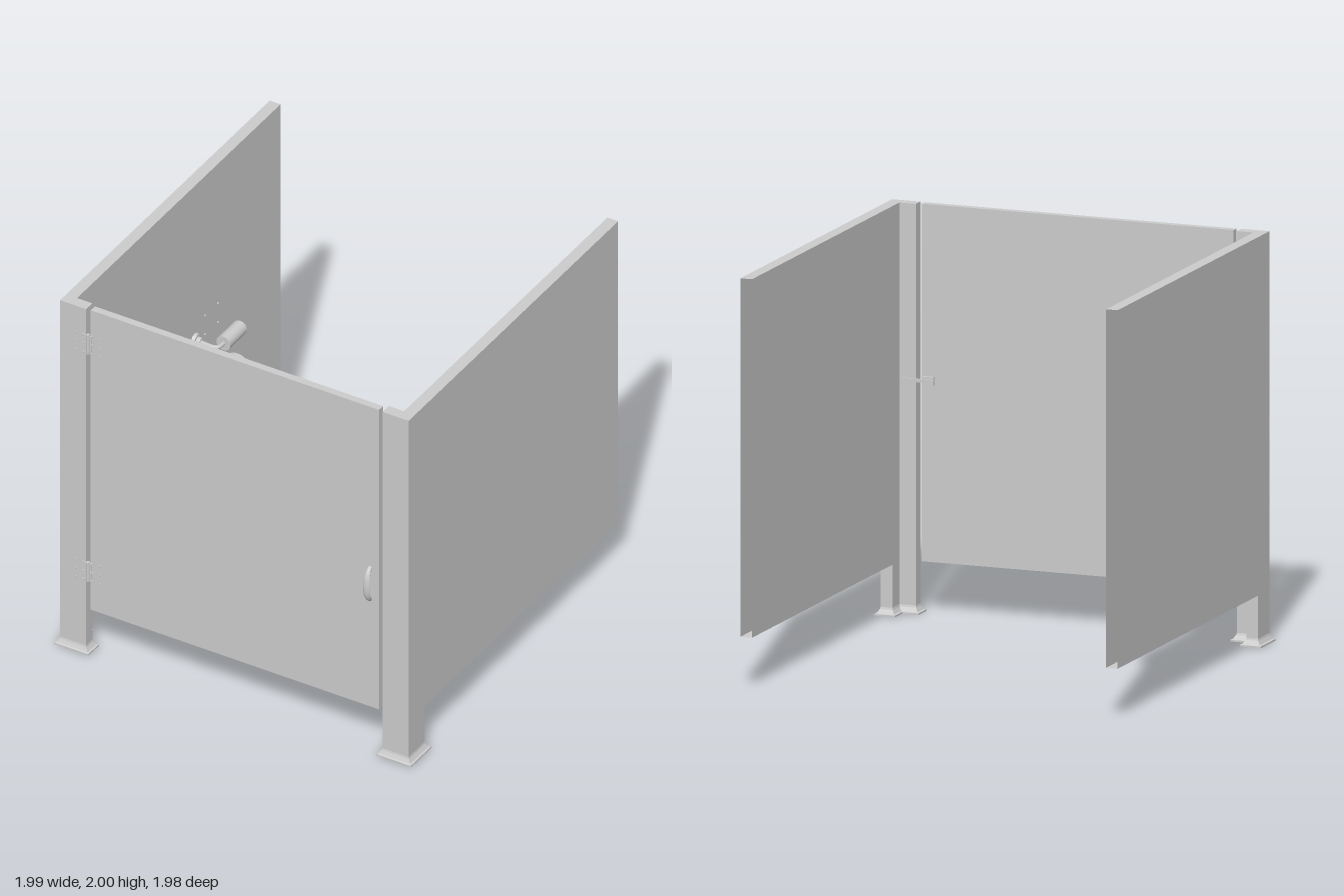
import * as THREE from 'three';

const mat = new THREE.MeshStandardMaterial({ color: 0xcccccc });
const thin = new THREE.MeshStandardMaterial({ color: 0xcccccc, side: THREE.DoubleSide });

function add(parent, name, geo, x = 0, y = 0, z = 0, material = mat) {
  const m = new THREE.Mesh(geo, material);
  m.name = name;
  m.position.set(x, y, z);
  parent.add(m);
  return m;
}

// Box given by its min and max corners
function box(parent, name, x0, x1, y0, y1, z0, z1) {
  return add(parent, name, new THREE.BoxGeometry(x1 - x0, y1 - y0, z1 - z0),
    (x0 + x1) / 2, (y0 + y1) / 2, (z0 + z1) / 2);
}

// Corner outline at height y of an L-shaped post, grown outwards by o
function cornerOutline(side, y, o) {
  const pts = [[0.971 + o, 0.947 + o * 0.8], [0.971 + o, 0.8 - o], [0.911 - o, 0.8 - o],
    [0.911 - o, 0.89 - o], [0.826 - o, 0.89 - o], [0.826 - o, 0.947 + o * 0.8]]
    .map(([x, z]) => new THREE.Vector3(x * side, y, z));
  // Keep the outer corner first when the mirrored ring is turned round
  return side > 0 ? pts : [pts[0], ...pts.slice(1).reverse()];
}

// L-shaped post lofted upwards from a flared foot, with end caps
function postGeometry(side) {
  const levels = [[0, 0.024], [0.008, 0.024], [0.012, 0.014], [0.03, 0.003], [0.04, 0], [2, 0]];
  const rings = levels.map(([y, o]) => cornerOutline(side, y, o));
  const pos = [];
  const tri = (a, b, c) => [a, b, c].forEach(p => pos.push(p.x, p.y, p.z));
  for (let i = 0; i < rings.length - 1; i++) {
    for (let j = 0; j < 6; j++) {
      const k = (j + 1) % 6, lo = rings[i], hi = rings[i + 1];
      tri(lo[j], lo[k], hi[k]);
      tri(lo[j], hi[k], hi[j]);
    }
  }
  // Caps fan out from the outer corner, which sees the whole L
  const top = rings[rings.length - 1], bottom = rings[0];
  for (let j = 1; j < 5; j++) {
    tri(top[0], top[j], top[j + 1]);
    tri(bottom[0], bottom[j + 1], bottom[j]);
  }
  const g = new THREE.BufferGeometry();
  g.setAttribute('position', new THREE.Float32BufferAttribute(pos, 3));
  g.computeVertexNormals();
  return g;
}

// Side wall: a hollow panel, open at its back end
function wallGeometry() {
  const g = new THREE.BoxGeometry(0.06, 1.75, 1.79);
  g.setIndex(Array.from(g.index.array).slice(0, 30));
  return g;
}

// Bowed pull handle, wide in the middle and slim at the feet
function handleGeometry() {
  const path = new THREE.CatmullRomCurve3([[-0.094, 0], [-0.082, 0.016], [-0.055, 0.03],
    [0, 0.036], [0.055, 0.03], [0.082, 0.016], [0.094, 0]].map(([y, z]) => new THREE.Vector3(0, y, z)));
  const g = new THREE.TubeGeometry(path, 32, 0.01, 12);
  const p = g.attributes.position;
  for (let i = 0; i < p.count; i++) p.setX(i, p.getX(i) * (2 - 1.1 * (p.getY(i) / 0.1) ** 2));
  g.computeVertexNormals();
  return g;
}

function hinge(y) {
  const g = new THREE.Group();
  g.name = 'hinge';
  g.position.set(-0.816, y, 0);
  add(g, 'hingeBarrel', new THREE.CylinderGeometry(0.009, 0.009, 0.11, 16), 0, 0, 0.947);
  box(g, 'hingeLeafPost', -0.02, 0, -0.05, 0.05, 0.944, 0.952);
  box(g, 'hingeLeafDoor', 0, 0.02, -0.05, 0.05, 0.94, 0.948);
  for (const [x, z] of [[-0.068, 0.948], [-0.025, 0.951], [0.02, 0.949], [0.067, 0.944]]) {
    for (const dy of [-0.05, 0, 0.05]) {
      const s = add(g, 'hingeScrew', new THREE.CylinderGeometry(0.005, 0.006, 0.006, 10), x, dy, z);
      s.rotation.x = Math.PI / 2;
    }
  }
  return g;
}

// Stepped wall flange, bent arm and spool at height y
function rollHolder(y) {
  const g = new THREE.Group();
  g.name = 'rollHolder';
  g.position.y = y;
  for (const [name, r, x, length] of [['holderFlange', 0.036, -0.903, 0.018], ['holderNeck', 0.022, -0.888, 0.03]]) {
    const part = add(g, name, new THREE.CylinderGeometry(r * 0.9, r, length, 24), x, 0, -0.197);
    part.rotation.z = -Math.PI / 2;
  }
  const path = new THREE.CatmullRomCurve3([[-0.89, -0.195], [-0.84, -0.19], [-0.8, -0.19],
    [-0.783, -0.2], [-0.778, -0.225], [-0.778, -0.3]].map(([x, z]) => new THREE.Vector3(x, 0, z)));
  add(g, 'holderArm', new THREE.TubeGeometry(path, 32, 0.011, 10));
  const spool = add(g, 'spool', new THREE.CylinderGeometry(0.039, 0.039, 0.155, 24), -0.778, 0, -0.318);
  spool.rotation.x = Math.PI / 2;
  const tip = add(g, 'spoolTip', new THREE.CylinderGeometry(0.01, 0.01, 0.165, 12), -0.778, 0, -0.321);
  tip.rotation.x = Math.PI / 2;
  return g;
}

export function createModel() {
  const root = new THREE.Group();
  root.name = 'cubicle';

  // Walls and corner posts
  for (const side of [-1, 1]) {
    add(root, 'sideWall', wallGeometry(), side * 0.941, 1.125, -0.095, thin);
    add(root, 'cornerPost', postGeometry(side));
  }

  // Door with hinges, handle and latch
  box(root, 'door', -0.803, 0.803, 0.255, 2, 0.905, 0.943);
  root.add(hinge(1.8), hinge(0.475));
  add(root, 'handle', handleGeometry(), 0.755, 0.975, 0.943);
  box(root, 'latchBar', 0.73, 0.9, 1.132, 1.148, 0.88, 0.89);
  box(root, 'latchPlate', 0.735, 0.79, 1.12, 1.16, 0.888, 0.906);

  // Waste bin tapering towards its floor
  const bin = new THREE.BoxGeometry(0.168, 0.23, 0.235);
  const p = bin.attributes.position;
  for (let i = 0; i < p.count; i++) {
    if (p.getY(i) > 0) continue;
    p.setZ(i, p.getZ(i) * 0.72);
    if (p.getX(i) > 0) p.setX(i, p.getX(i) - 0.04);
  }
  bin.computeVertexNormals();
  add(root, 'wasteBin', bin, -0.827, 0.845, 0.064);
  box(root, 'binRim', -0.911, -0.738, 0.957, 0.97, -0.058, 0.186);

  // Two roll holders, the lower one carrying a full roll
  root.add(rollHolder(1.105), rollHolder(0.89));
  const roll = add(root, 'paperRoll', new THREE.CylinderGeometry(0.077, 0.077, 0.158, 40), -0.778, 0.89, -0.294);
  roll.rotation.x = Math.PI / 2;

  // Fixing screws on the wall
  for (const z of [-0.41, -0.29]) {
    for (const y of [0.97, 1.08, 1.19]) {
      const s = add(root, 'wallScrew', new THREE.CylinderGeometry(0.004, 0.006, 0.006, 10), -0.908, y, z);
      s.rotation.z = -Math.PI / 2;
    }
  }
  return root;
}
